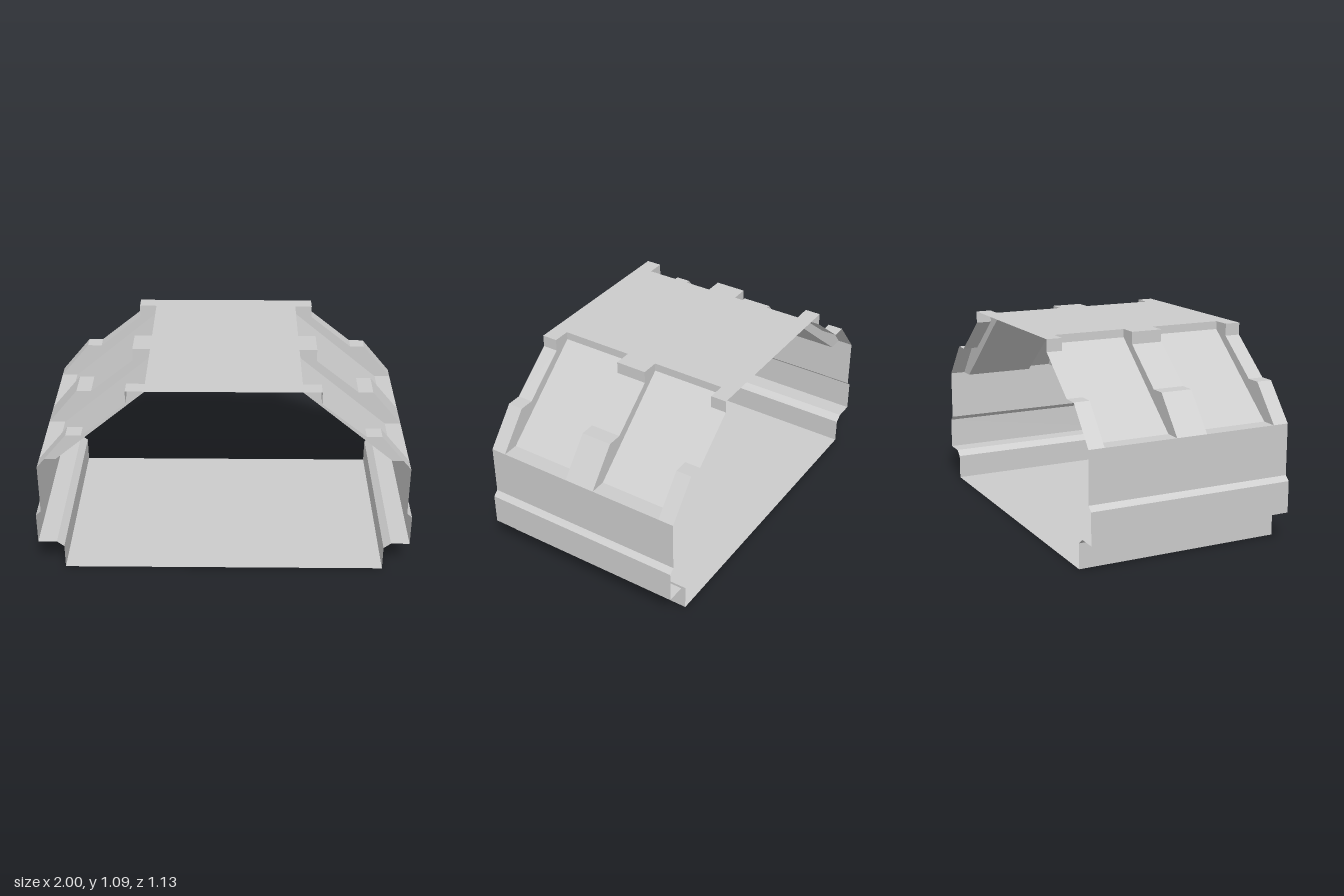
import * as THREE from 'three';

const material = new THREE.MeshStandardMaterial({
  color: 0xcccccc, flatShading: true, side: THREE.DoubleSide,
});
const HALF = 0.565;      // half length of the shell
const RIB = 0.085;       // half width of the middle rib
const END_RIB = 0.48;    // inner edge of the end ribs

// Folded sheet: a cross-section [x, y] stretched from z0 to z1
function sheet(name, profile, z0, z1) {
  const positions = [];
  for (let i = 0; i < profile.length - 1; i++) {
    const [px, py] = profile[i], [qx, qy] = profile[i + 1];
    positions.push(px, py, z1, px, py, z0, qx, qy, z0);
    positions.push(px, py, z1, qx, qy, z0, qx, qy, z1);
  }
  const geometry = new THREE.BufferGeometry();
  geometry.setAttribute('position', new THREE.Float32BufferAttribute(positions, 3));
  geometry.computeVertexNormals();
  const mesh = new THREE.Mesh(geometry, material);
  mesh.name = name;
  return mesh;
}

// Cross-sections of one side, from bottom to top
const wallProfile = [[0.862, 0], [0.862, 0.135], [0.9, 0.165], [1, 0.165],
  [1, 0.335], [0.972, 0.36], [0.972, 0.635]];
const ribProfile = [[0.972, 0.635], [0.81, 0.83], [0.73, 0.83],
  [0.495, 1.02], [0.495, 1.085], [0.4, 1.085]];
const panelProfile = [[0.972, 0.635], [0.885, 0.635], [0.4, 1.042], [0.4, 1.085]];

function buildSide(name) {
  const side = new THREE.Group();
  side.name = name;
  side.add(sheet('sideWall', wallProfile, -HALF, HALF));

  // Raised hollow ribs
  for (const [z0, z1] of [[-HALF, -END_RIB], [-RIB, RIB], [END_RIB, HALF]]) {
    side.add(sheet('rib', ribProfile, z0, z1));
  }
  // Recessed sloping panels
  for (const [z0, z1] of [[-END_RIB, -RIB], [RIB, END_RIB]]) {
    side.add(sheet('recessedPanel', panelProfile, z0, z1));
  }
  // Flat cheeks closing the step between ribs and panels
  const outline = [...ribProfile, ...panelProfile.slice(1, 3).reverse()];
  const cheek = new THREE.ShapeGeometry(
    new THREE.Shape(outline.map(([x, y]) => new THREE.Vector2(x, y))));
  for (const z of [-END_RIB, -RIB, RIB, END_RIB]) {
    const mesh = new THREE.Mesh(cheek, material);
    mesh.name = 'ribCheek';
    mesh.position.z = z;
    side.add(mesh);
  }
  return side;
}

export function createModel() {
  const model = new THREE.Group();
  model.name = 'openShell';
  model.add(sheet('floor', [[-0.862, 0], [0.862, 0]], -HALF, HALF));
  model.add(sheet('roof', [[0.4, 1.085], [-0.4, 1.085]], -HALF, HALF));

  // The side is symmetric front to back, so a half turn gives the other one
  const right = buildSide('rightSide');
  right.rotation.y = Math.PI;
  model.add(buildSide('leftSide'), right);
  return model;
}
